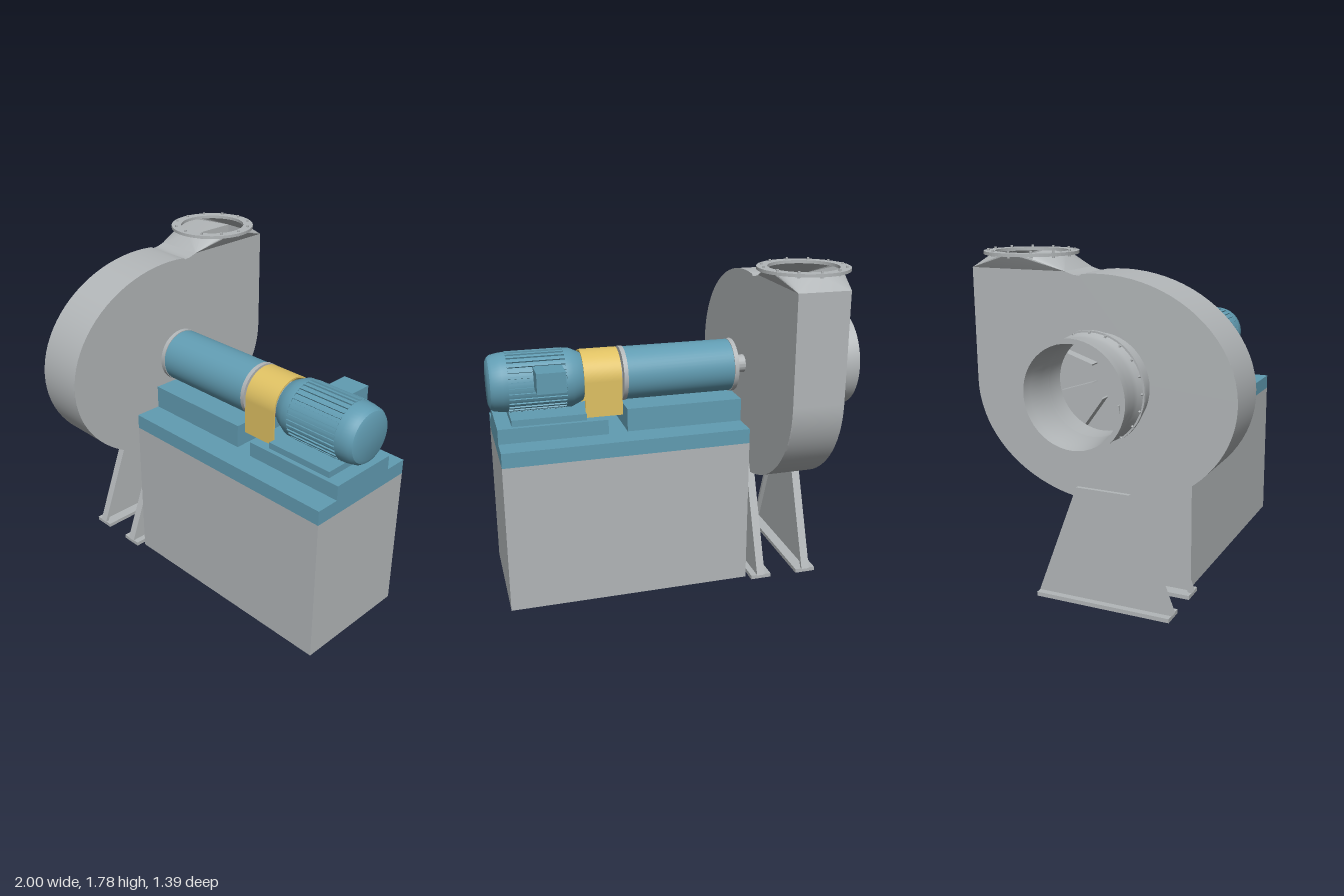
import * as THREE from 'three';
import { toCreasedNormals } from 'three/addons/utils/BufferGeometryUtils.js';

const mat = (name, color, side = THREE.FrontSide) => {
  const m = new THREE.MeshStandardMaterial({ color, side });
  m.name = name;
  return m;
};

export function createModel() {
  const grey = mat('steel grey', 0xb2b6b8, THREE.DoubleSide);
  const teal = mat('machine teal', 0x619cb2);
  const yellow = mat('guard yellow', 0xdfc163, THREE.DoubleSide);

  const model = new THREE.Group();
  model.name = 'centrifugalFan';
  const AXIS_Y = 1.16, AXIS_Z = 0.012;

  const add = (name, geo, material, parent = model) => {
    const mesh = new THREE.Mesh(geo, material);
    mesh.name = name;
    parent.add(mesh);
    return mesh;
  };
  // Box given by its limits
  const box = (name, x0, x1, y0, y1, z0, z1, material) => {
    const m = add(name, new THREE.BoxGeometry(x1 - x0, y1 - y0, z1 - z0), material);
    m.position.set((x0 + x1) / 2, (y0 + y1) / 2, (z0 + z1) / 2);
    return m;
  };
  // Turned part about the drive axis, profile of [x, radius]
  const turned = (name, profile, material) => {
    const pts = profile.map(([x, r]) => new THREE.Vector2(r, x));
    const geo = toCreasedNormals(new THREE.LatheGeometry(pts, 48), 0.5).rotateZ(-Math.PI / 2);
    const m = add(name, geo, material);
    m.position.set(0, AXIS_Y, AXIS_Z);
    return m;
  };
  const disc = (name, x0, x1, r, material) =>
    turned(name, [[x0, 0], [x0, r], [x1, r], [x1, 0]], material);
  // Plate with outline in (-z, y), thickened along x
  const plateX = (name, shape, x0, x1, material) => {
    const geo = new THREE.ExtrudeGeometry(shape, { depth: x1 - x0, bevelEnabled: false, curveSegments: 48 });
    return add(name, geo.rotateY(Math.PI / 2).translate(x0, 0, 0), material);
  };

  // Foundation and stepped base frame
  box('concreteBlock', -0.34, 0.975, 0, 0.81, -0.32, 0.343, grey);
  box('basePlate', -0.34, 0.975, 0.81, 0.89, -0.32, 0.343, teal);
  box('bearingPedestal', -0.34, 0.295, 0.89, 1.015, -0.175, 0.195, teal);
  box('motorPedestal', 0.4, 0.975, 0.89, 0.97, -0.188, 0.212, teal);
  box('motorFoot', 0.51, 0.9, 0.97, 1.005, -0.165, 0.187, teal);

  // Scroll casing outline, open at the outlet
  const X0 = -0.69, X1 = -0.415, CY = 1.118, TOP = 1.688;
  const outline = [new THREE.Vector2(0.697, TOP)];
  for (let i = 0; i <= 64; i++) {
    const a = -i / 64 * Math.PI * 1.54;
    outline.push(new THREE.Vector2(0.697 * Math.cos(a), CY + 0.566 * Math.sin(a)));
  }
  outline.push(new THREE.Vector2(0.1, 1.67), new THREE.Vector2(0.135, 1.674), new THREE.Vector2(0.18, TOP));

  const farSide = new THREE.Shape(outline);
  const inletSide = new THREE.Shape(outline);
  inletSide.holes.push(new THREE.Path().absarc(-AXIS_Z, AXIS_Y, 0.235, 0, Math.PI * 2, true));
  plateX('casingInletSide', inletSide, X0, X0 + 0.008, grey);
  plateX('casingDriveSide', farSide, X1 - 0.008, X1, grey);

  const strip = new THREE.PlaneGeometry(1, 1, outline.length - 1, 1);
  const sp = strip.attributes.position;
  for (let i = 0; i < sp.count; i++) {
    const p = outline[i % outline.length];
    sp.setXYZ(i, i < outline.length ? X0 : X1, p.y, -p.x);
  }
  strip.computeVertexNormals();
  add('casingScroll', strip, grey);

  // Impeller inside the casing
  disc('impellerDisc', -0.46, -0.445, 0.38, grey);
  disc('impellerHub', -0.54, -0.44, 0.06, grey);
  for (let i = 0; i < 10; i++) {
    const blade = new THREE.BoxGeometry(0.07, 0.2, 0.008).translate(-0.485, 0.25, 0).rotateX(i * Math.PI / 5);
    add('impellerBlade', blade, grey).position.set(0, AXIS_Y, AXIS_Z);
  }

  // Outlet: rectangular to round transition
  const OX = -0.5525, OZ = -0.4375;
  const verts = [], index = [];
  for (let q = 0; q < 4; q++) {
    for (let j = 0; j <= 10; j++) {
      const a = (q + j / 10) * Math.PI / 2;
      const m = (q + 0.5) * Math.PI / 2;
      verts.push(OX + Math.sign(Math.cos(m)) * 0.1375, TOP, OZ + Math.sign(Math.sin(m)) * 0.2595);
      verts.push(OX + 0.192 * Math.cos(a), 1.757, OZ + 0.192 * Math.sin(a));
    }
  }
  const n = verts.length / 6;
  for (let i = 0; i < n; i++) {
    const a = 2 * i, b = 2 * ((i + 1) % n);
    index.push(a, a + 1, b, b, a + 1, b + 1);
  }
  const loft = new THREE.BufferGeometry();
  loft.setAttribute('position', new THREE.Float32BufferAttribute(verts, 3));
  loft.setIndex(index);
  add('outletTransition', toCreasedNormals(loft, 0.4), grey);

  // Outlet flange and bolts
  const ring = new THREE.Shape().absarc(0, 0, 0.235, 0, Math.PI * 2);
  ring.holes.push(new THREE.Path().absarc(0, 0, 0.18, 0, Math.PI * 2, true));
  const flange = new THREE.ExtrudeGeometry(ring, { depth: 0.016, bevelEnabled: false, curveSegments: 32 });
  add('outletFlange', flange.rotateX(-Math.PI / 2), grey).position.set(OX, 1.754, OZ);
  const boltGeo = new THREE.CylinderGeometry(0.007, 0.007, 0.034, 8);
  for (let i = 0; i < 12; i++) {
    const a = i * Math.PI / 6;
    add('outletBolt', boltGeo, grey).position.set(OX + 0.212 * Math.cos(a), 1.763, OZ + 0.212 * Math.sin(a));
  }

  // Inlet pipe, flared bell and joint flange
  turned('inletPipe', [[-0.79, 0.235], [-0.79, 0.25], [-0.685, 0.25], [-0.685, 0.235], [-0.79, 0.235]], grey);
  turned('inletBell', [[-1, 0.247], [-1, 0.271], [-0.95, 0.265], [-0.87, 0.254], [-0.835, 0.256], [-0.8, 0.268],
    [-0.8, 0.235], [-0.87, 0.232], [-0.95, 0.24], [-1, 0.247]], grey);
  turned('inletFlange', [[-0.803, 0.235], [-0.803, 0.276], [-0.786, 0.276], [-0.786, 0.235], [-0.803, 0.235]], grey);
  for (let i = 0; i < 20; i++) {
    const rivet = new THREE.CylinderGeometry(0.006, 0.006, 0.016, 8).translate(-0.812, 0.264, 0).rotateX(i * Math.PI / 10);
    add('inletRivet', rivet, grey).position.set(0, AXIS_Y, AXIS_Z);
  }

  // Casing supports: tapered web, sloping flanges and foot, mirrored
  const LX = -0.5525;
  for (const s of [-1, 1]) {
    const span = (a, b) => [LX + s * a, LX + s * b].sort((p, q) => p - q);
    const web = new THREE.Shape([[-0.375, 0.02], [0.375, 0.02], [0.145, 0.62], [-0.145, 0.62]]
      .map(([u, y]) => new THREE.Vector2(u, y)));
    plateX('supportWeb', web, ...span(0.138, 0.158), grey).position.z = 0.012;
    for (const t of [-1, 1]) {
      const edge = new THREE.Shape([[0.375, 0.02], [0.163, 0.573], [0.143, 0.573], [0.355, 0.02]]
        .map(([u, y]) => new THREE.Vector2(t * u, y)));
      plateX('supportFlange', edge, ...span(0.113, 0.158), grey).position.z = 0.012;
    }
    box('supportFoot', ...span(0.077, 0.192), 0, 0.022, -0.36, 0.385, grey);
  }

  // Shaft and bearing housing
  disc('shaft', -0.45, -0.33, 0.05, grey);
  disc('bearingHousing', -0.335, 0.295, 0.143, teal);
  disc('housingEndRing', -0.342, -0.318, 0.147, grey);
  disc('housingEndRing', 0.275, 0.298, 0.147, grey);
  disc('coupling', 0.29, 0.52, 0.1, grey);

  // Arched coupling guard in thin sheet
  const arch = new THREE.Shape();
  arch.moveTo(0.145, 0.972 - AXIS_Y);
  arch.lineTo(0.145, 0);
  arch.absarc(0, 0, 0.145, 0, Math.PI, false);
  arch.lineTo(-0.145, 0.972 - AXIS_Y);
  arch.lineTo(-0.137, 0.972 - AXIS_Y);
  arch.lineTo(-0.137, 0);
  arch.absarc(0, 0, 0.137, Math.PI, 0, true);
  arch.lineTo(0.137, 0.972 - AXIS_Y);
  plateX('couplingGuard', arch, 0.31, 0.51, yellow).position.set(0, AXIS_Y, AXIS_Z);

  // Motor with cooling ribs and terminal box
  turned('motorBody', [[0.505, 0], [0.505, 0.128], [0.52, 0.136], [0.565, 0.157], [0.6, 0.157], [0.6, 0.152],
    [0.9, 0.152], [0.9, 0.157], [0.93, 0.156], [0.975, 0.147], [0.991, 0.135], [1, 0.115], [1, 0]], teal);
  for (let i = 0; i < 32; i++) {
    const rib = new THREE.BoxGeometry(0.3, 0.02, 0.012).translate(0.75, 0.15, 0).rotateX(i * Math.PI / 16);
    add('motorRib', rib, teal).position.set(0, AXIS_Y, AXIS_Z);
  }
  box('terminalBox', 0.622, 0.772, 1.157, 1.265, -0.247, -0.1, teal);

  return model;
}
